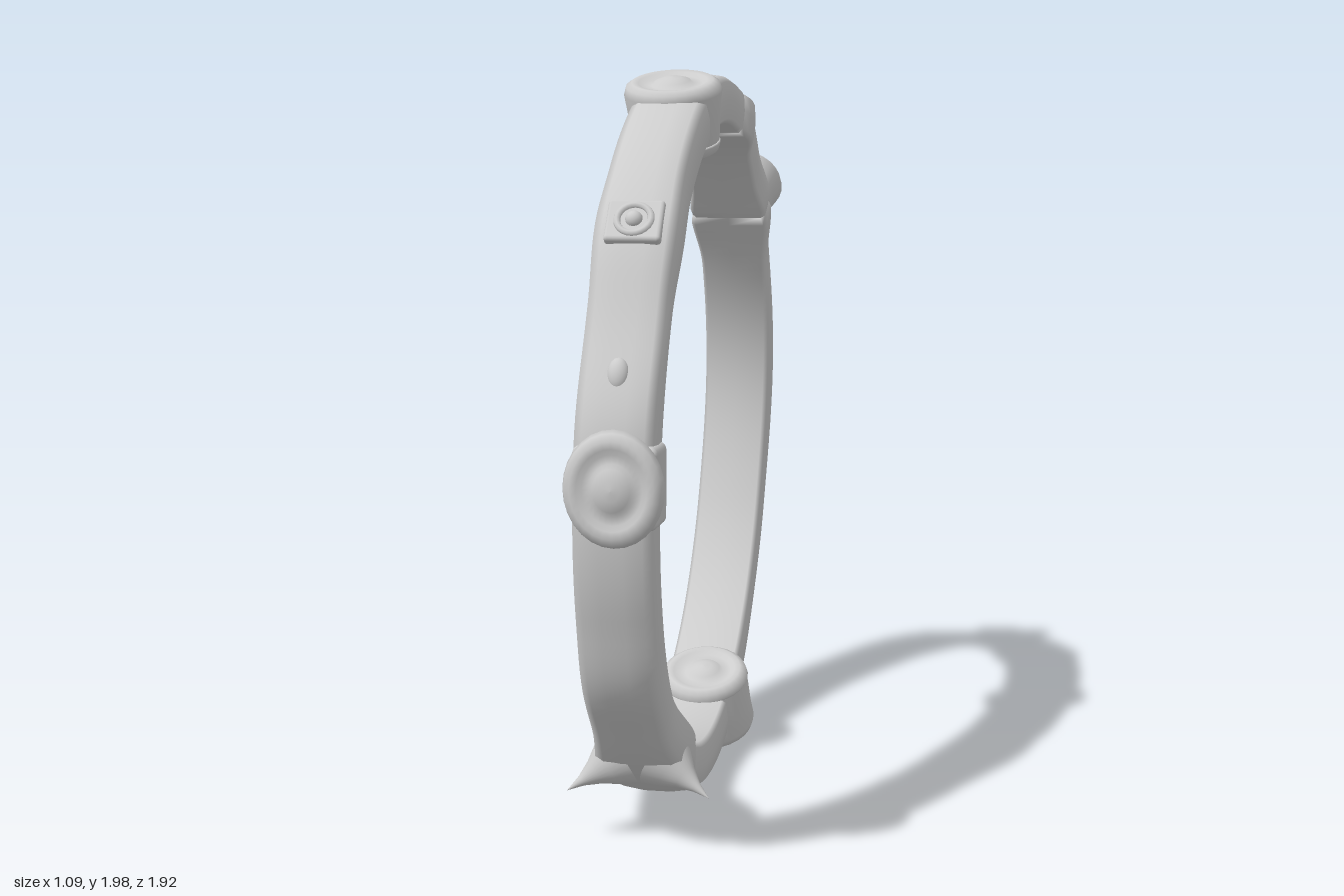
import * as THREE from 'three';
import { RoundedBoxGeometry } from 'three/addons/geometries/RoundedBoxGeometry.js';

const RAD = Math.PI / 180;
const metal = new THREE.MeshStandardMaterial({ color: 0xcccccc });
metal.name = 'grey metal';

// smooth bump centred on an angle (degrees), zero beyond width w
const bump = (a, centre, w) => {
  const d = Math.abs(((a - centre + 540) % 360) - 180) / w;
  return d < 1 ? 0.5 + 0.5 * Math.cos(Math.PI * d) : 0;
};
const outerRadius = a => 0.982 + 0.062 * bump(a, 175, 27) + 0.015 * bump(a, 329, 12)
  + 0.012 * bump(a, 120, 12) - 0.012 * bump(a, 220, 18) - 0.035 * bump(a, 25, 18);
const innerRadius = a => 0.848 - 0.018 * bump(a, 303, 22) - 0.01 * bump(a, 130, 16) + 0.022 * bump(a, 172, 30);
const halfWidth = a => 0.1 + 0.025 * bump(a, 302, 16) + 0.022 * bump(a, 111, 9)
  + 0.006 * bump(a, 40, 12) + 0.02 * bump(a, 140, 12);
// the band leans slightly sideways from bottom to top
const lean = a => -0.005 - 0.02 * Math.sin(a * RAD);

// cross-section: softly crowned outside, nearly flat inside; [width factor, height 0..1]
const SECTION = [[-0.86, 0], [-0.97, 0.1], [-1, 0.5], [-0.96, 0.84], [-0.76, 0.95], [-0.3, 1],
  [0.3, 1], [0.76, 0.95], [0.96, 0.84], [1, 0.5], [0.97, 0.1], [0.86, 0], [0, -0.01]];

// one curved piece of the band, pinched at its ends so that the seams show
function bandPiece(from, to) {
  const steps = Math.ceil((to - from) / 2), n = SECTION.length;
  const pos = [], idx = [];
  for (let i = 0; i <= steps; i++) {
    const a = from + (to - from) * i / steps;
    const end = i === 0 || i === steps ? 0.95 : 1;
    const ro = outerRadius(a), ri = innerRadius(a), mid = (ro + ri) / 2;
    for (const [w, h] of SECTION) {
      const r = mid + (ri + (ro - ri) * h - mid) * end;
      pos.push(r * Math.cos(a * RAD), r * Math.sin(a * RAD), lean(a) + w * halfWidth(a) * end);
    }
  }
  for (let i = 0; i < steps; i++) for (let j = 0; j < n; j++) {
    const a = i * n + j, b = i * n + (j + 1) % n, c = a + n, d = b + n;
    idx.push(a, c, b, b, c, d);
  }
  for (let j = 1; j < n - 1; j++) {
    idx.push(0, j, j + 1);
    idx.push(steps * n, steps * n + j + 1, steps * n + j);
  }
  const g = new THREE.BufferGeometry();
  g.setAttribute('position', new THREE.Float32BufferAttribute(pos, 3));
  g.setIndex(idx);
  g.computeVertexNormals();
  return g;
}

// pivot whose +y points outward from the ring centre
function radial(ring, name, deg, z = lean(deg)) {
  const p = new THREE.Group();
  p.name = name;
  p.rotation.z = (deg - 90) * RAD;
  p.position.z = z;
  ring.add(p);
  return p;
}

function add(parent, name, geometry) {
  const m = new THREE.Mesh(geometry, metal);
  m.name = name;
  parent.add(m);
  return m;
}

const lathe = pts => new THREE.LatheGeometry(pts.map(p => new THREE.Vector2(p[0], p[1])), 28);

// raised rim, groove and central dome, ending on the axis at height r
const medallionFace = (r, R) => [[R, r - 0.03], [R - 0.006, r - 0.01], [R - 0.022, r], [R - 0.038, r - 0.002],
  [R - 0.05, r - 0.01], [0.055, r - 0.01], [0.045, r], [0.022, r + 0.008], [0, r + 0.01]];

export function createModel() {
  const model = new THREE.Group();
  model.name = 'ring';
  const ring = new THREE.Group();
  ring.name = 'ringBand';
  ring.position.y = 1;
  ring.rotation.y = -116.8 * RAD;
  model.add(ring);

  // band pieces between seams
  const seams = [1, 74, 106, 139, 248, 288, 361];
  for (let i = 0; i < seams.length - 1; i++) add(ring, 'bandPiece', bandPiece(seams[i], seams[i + 1]));

  // medallions: angle, sideways offset, collar bottom, collar radius, face height, rim radius, inner face height
  const medallions = [
    ['frontMedallion', 1, -0.015, 0.9, 0.1, 1.02, 0.123],
    ['topMedallion', 74.5, -0.02, 0.83, 0.115, 1.0, 0.128, 0.84],
    ['backMedallion', 140, -0.035, 0.92, 0.1, 1.045, 0.125],
    ['bottomMedallion', 248, -0.005, 0.83, 0.125, 1.015, 0.137, 0.842],
  ];
  for (const [name, deg, z, r0, collar, r, R, innerHeight] of medallions) {
    const p = radial(ring, name, deg, z);
    const body = add(p, 'medallionBody', lathe([[0, r0], [collar - 0.01, r0], [collar, r0 + 0.01],
      [collar + 0.006, r - 0.08], ...medallionFace(r, R)]));
    // some medallions also have a face toward the centre
    if (innerHeight) {
      const inner = add(p, 'innerFace', lathe([[0, 0], [collar, 0], ...medallionFace(0.035, collar + 0.003)]));
      inner.rotation.x = Math.PI;
      inner.position.y = innerHeight;
    }
    // the front medallion is taller than wide and sits on a collar wrapped around the band
    if (name === 'frontMedallion') {
      body.scale.x = 1.15;
      add(p, 'collar', new RoundedBoxGeometry(0.2, 0.14, 0.206, 3, 0.02)).position.y = 0.922;
    }
  }

  // square plate with a ringed stud
  const plate = radial(ring, 'squarePlate', 40);
  add(plate, 'plate', new RoundedBoxGeometry(0.12, 0.04, 0.14, 2, 0.01)).position.y = 0.968;
  const rim = add(plate, 'plateRing', new THREE.TorusGeometry(0.042, 0.009, 8, 24));
  rim.rotation.x = Math.PI / 2;
  rim.position.y = 0.987;
  const dome = add(plate, 'plateStud', new THREE.SphereGeometry(0.022, 16, 10));
  dome.position.y = 0.985;

  // small studs
  for (const deg of [17, 199]) {
    const stud = add(radial(ring, 'smallStud', deg), 'stud', new THREE.SphereGeometry(0.034, 18, 12));
    stud.position.y = outerRadius(deg) - 0.01;
    stud.scale.set(1.2, 0.7, 0.8);
  }

  // pair of curved thorns sticking out sideways
  const thorns = radial(ring, 'thorns', 305);
  for (const side of [-1, 1]) {
    const thorn = add(thorns, 'thorn', lathe([[0.085, -0.03], [0.058, 0.015], [0.034, 0.05], [0.014, 0.09], [0, 0.135]]));
    thorn.position.set(0, 0.955, side * 0.08);
    thorn.rotation.x = side * 52 * RAD;
  }
  return model;
}
